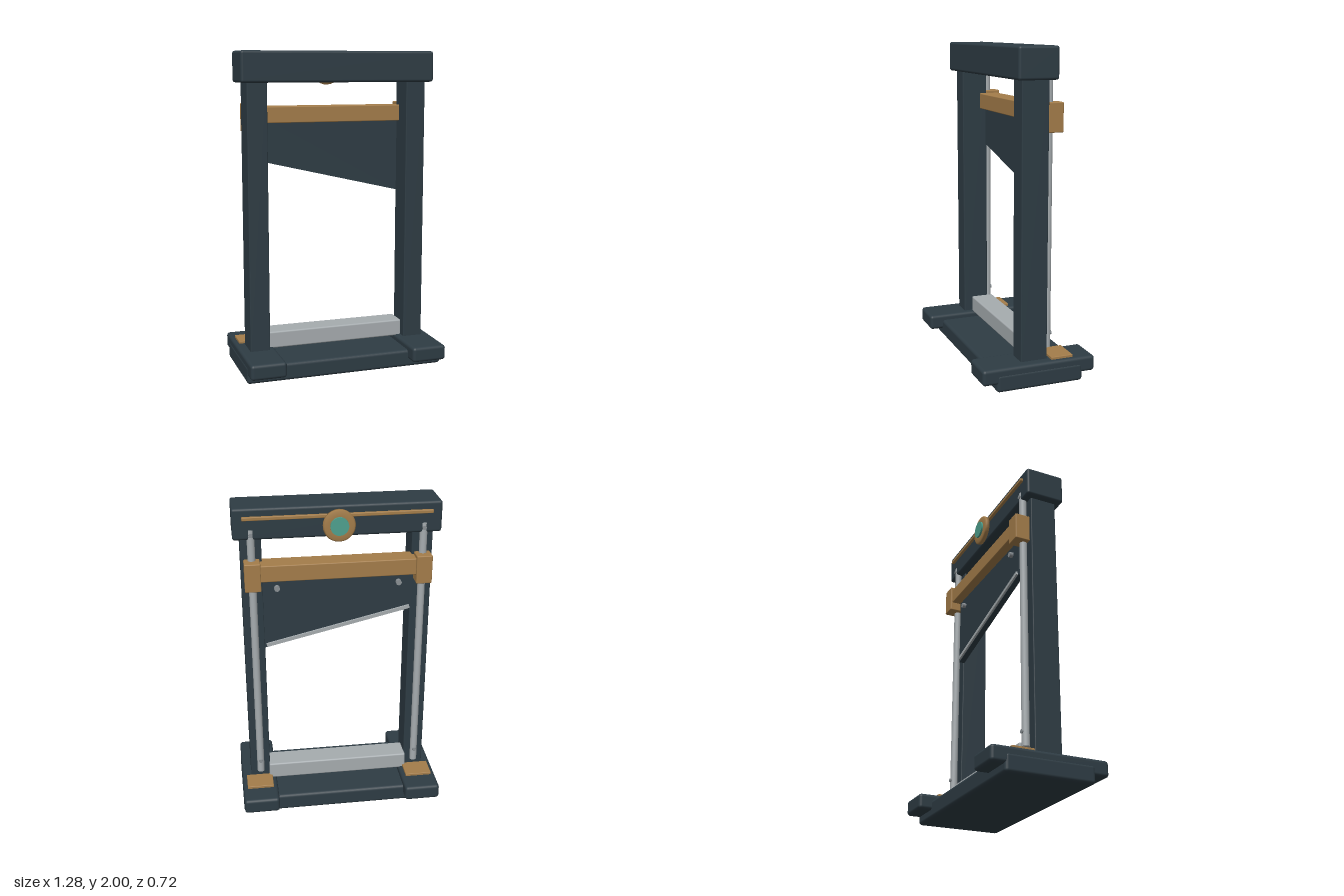
import * as THREE from 'three';
import { RoundedBoxGeometry } from 'three/addons/geometries/RoundedBoxGeometry.js';

const mat = (name, color) => {
  const m = new THREE.MeshStandardMaterial({ color });
  m.name = name;
  return m;
};

export function createModel() {
  const model = new THREE.Group();
  model.name = 'bladePress';
  const dark = mat('darkSlate', 0x2e3c44);
  const brass = mat('brass', 0xa47d4a);
  const steel = mat('steel', 0xa6acaf);
  const boltGrey = mat('boltGrey', 0x8b9195);
  const teal = mat('teal', 0x4fa08e);

  const add = (name, geometry, material, x = 0, y = 0, z = 0) => {
    const mesh = new THREE.Mesh(geometry, material);
    mesh.name = name;
    mesh.position.set(x, y, z);
    model.add(mesh);
    return mesh;
  };
  // Rounded box given by its minimum and maximum corners
  const box = (name, material, [x0, x1], [y0, y1], [z0, z1], r = 0.006) =>
    add(name, new RoundedBoxGeometry(x1 - x0, y1 - y0, z1 - z0, 3, r), material,
      (x0 + x1) / 2, (y0 + y1) / 2, (z0 + z1) / 2);
  const span = (s, a, b) => (s > 0 ? [a, b] : [-b, -a]);
  // Cylinder lying along z
  const disc = (name, material, r, depth, x, y, z, sides = 24) =>
    add(name, new THREE.CylinderGeometry(r, r, depth, sides).rotateX(Math.PI / 2), material, x, y, z);

  // Frame
  box('base', dark, [-0.64, 0.64], [0, 0.11], [-0.278, 0.273], 0.02);
  box('topBeam', dark, [-0.62, 0.62], [1.81, 2], [-0.112, 0.138], 0.016);

  for (const s of [1, -1]) {
    const side = s > 0 ? 'left' : 'right';
    box(side + 'Foot', dark, span(s, 0.412, 0.637), [0.05, 0.147], [-0.361, 0.361], 0.02);
    box(side + 'Post', dark, span(s, 0.452, 0.578), [0.13, 1.83], [-0.068, 0.1]);
    box(side + 'FootPlate', brass, span(s, 0.44, 0.61), [0.14, 0.163], [-0.225, -0.085], 0.004);
    // Guide rail with its bolts and sliding block
    add(side + 'Rail', new THREE.CylinderGeometry(0.023, 0.023, 1.67, 20), steel, s * 0.514, 1.035, -0.093);
    for (const y of [0.285, 1.84]) disc(side + 'RailBolt', boltGrey, 0.013, 0.014, s * 0.514, y, -0.114, 10);
    box(side + 'Slider', brass, span(s, 0.466, 0.562), [1.505, 1.68], [-0.167, -0.07]);
    disc(side + 'BladeBolt', boltGrey, 0.018, 0.03, s * 0.37, 1.5, -0.105, 8);
  }

  // Blade carriage
  box('carriageBar', brass, [-0.468, 0.468], [1.56, 1.662], [-0.154, -0.02]);
  const outline = new THREE.Shape([
    [-0.455, 1.6], [-0.455, 1.32], [0.455, 1.105], [0.455, 1.6],
  ].map(([x, y]) => new THREE.Vector2(x, y)));
  add('blade', new THREE.ExtrudeGeometry(outline, { depth: 0.036, bevelEnabled: false }), dark, 0, 0, -0.096);

  // Steel cutting edge along the slanted bottom of the blade
  const edge = add('bladeEdge', new THREE.BoxGeometry(0.91, 0.022, 0.016), steel, 0, 1.229, -0.1);
  edge.rotation.z = Math.atan2(-0.215, 0.91);

  // Steel bed bar
  box('bedBar', steel, [-0.457, 0.457], [0.138, 0.245], [-0.105, 0.045], 0.01);

  // Back trim and round badge
  box('beamTrim', brass, [-0.562, 0.562], [1.932, 1.953], [-0.13, -0.105], 0.004);
  const rim = [[0, 0], [0.05, 0], [0.095, 0.008], [0.097, 0.03], [0.088, 0.038], [0.055, 0.038], [0, 0.036]]
    .map(([r, d]) => new THREE.Vector2(r, d));
  add('badgeRim', new THREE.LatheGeometry(rim, 28).rotateX(-Math.PI / 2), brass, 0, 1.888, -0.12);
  disc('badgeStem', brass, 0.05, 0.03, 0, 1.888, -0.115);
  disc('badgeGem', teal, 0.055, 0.03, 0, 1.888, -0.155);

  return model;
}
